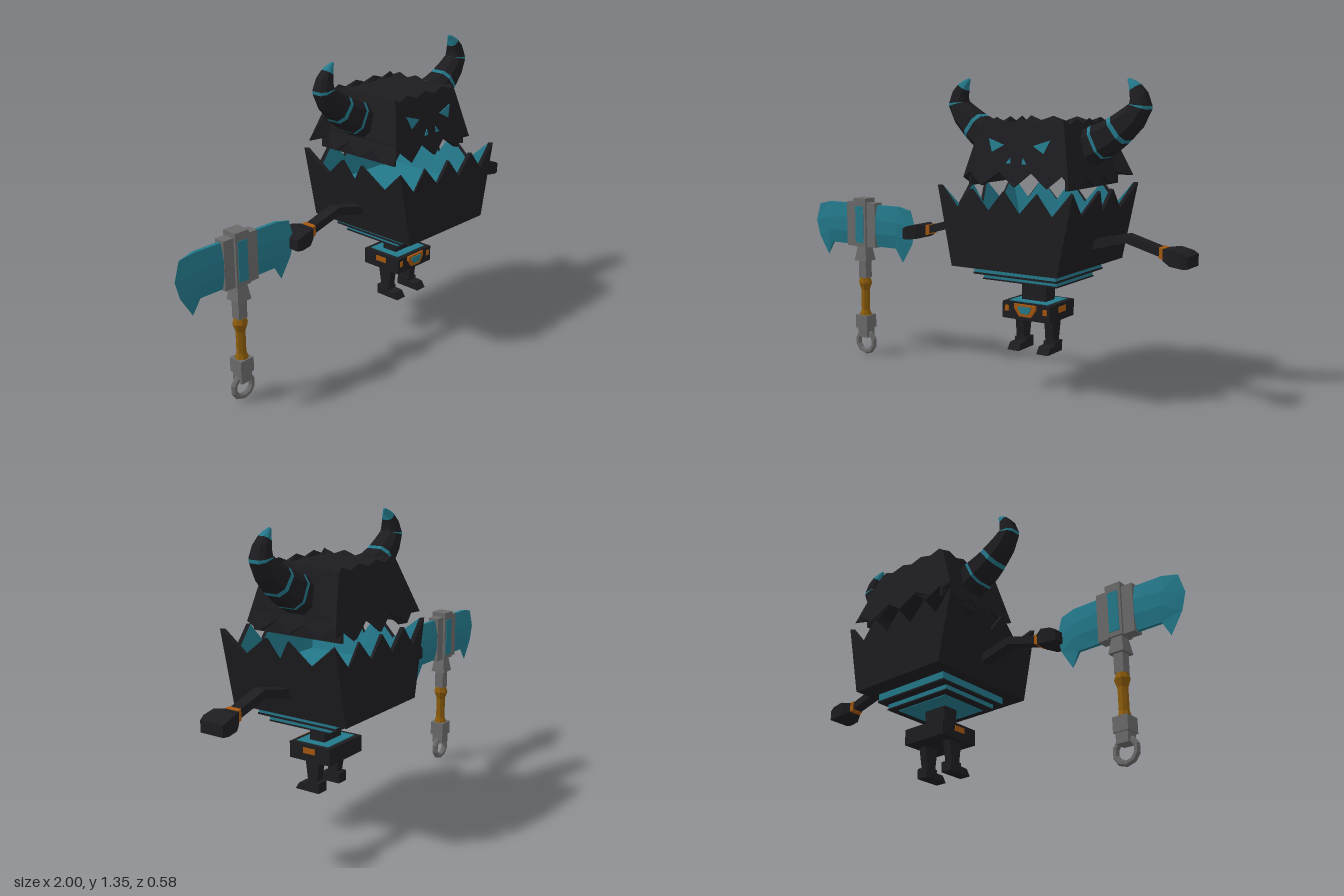
import * as THREE from 'three';

const mat = (color) => new THREE.MeshStandardMaterial({ color, flatShading: true, side: THREE.DoubleSide });
const dark = mat(0x1d1d21), teal = mat(0x23788a), steel = mat(0x6a6a6a), amber = mat(0x8c5c0c), orange = mat(0xa4570f);

function add(group, name, geometry, material) {
  const mesh = new THREE.Mesh(geometry, material);
  mesh.name = name;
  group.add(mesh);
  return mesh;
}

function box(group, name, material, [x0, x1], [y0, y1], [z0, z1]) {
  const g = new THREE.BoxGeometry(x1 - x0, y1 - y0, z1 - z0);
  g.translate((x0 + x1) / 2, (y0 + y1) / 2, (z0 + z1) / 2);
  return add(group, name, g, material);
}

// Skin a list of closed rings; caps are fans around the ring centre
function loft(rings, capStart = true, capEnd = true) {
  const pos = [];
  const tri = (...pts) => pts.forEach((p) => pos.push(...p));
  const n = rings[0].length;
  for (let r = 0; r < rings.length - 1; r++) {
    for (let i = 0; i < n; i++) {
      const j = (i + 1) % n, a = rings[r], b = rings[r + 1];
      tri(a[i], a[j], b[j]);
      tri(a[i], b[j], b[i]);
    }
  }
  const cap = (ring, flip) => {
    const c = [0, 1, 2].map((k) => ring.reduce((s, p) => s + p[k], 0) / n);
    ring.forEach((p, i) => {
      const q = ring[(i + 1) % n];
      if (flip) tri(c, q, p); else tri(c, p, q);
    });
  };
  if (capStart) cap(rings[0], true);
  if (capEnd) cap(rings[rings.length - 1], false);
  const g = new THREE.BufferGeometry();
  g.setAttribute('position', new THREE.Float32BufferAttribute(pos, 3));
  g.computeVertexNormals();
  return g;
}

// Mirrored copy across x = 0 with the winding kept outward
function flipX(geometry) {
  const g = geometry.index ? geometry.toNonIndexed() : geometry.clone();
  const p = g.attributes.position;
  for (let i = 0; i < p.count; i += 3) {
    const v = [0, 2, 1].map((k) => [-p.getX(i + k), p.getY(i + k), p.getZ(i + k)]);
    v.forEach((c, k) => p.setXYZ(i + k, ...c));
  }
  g.computeVertexNormals();
  return g;
}

function pair(group, name, geometry, material) {
  add(group, name + 'Left', geometry, material);
  add(group, name + 'Right', flipX(geometry), material);
}

// Four-sided bar along x from stations [x, y, halfHeight, halfDepth]
const bar = (stations) => loft(stations.map(([x, y, h, d]) =>
  [[-1, -1], [1, -1], [1, 1], [-1, 1]].map(([a, b]) => [x, y + a * h, b * d])));

// Walk round a square: half the front teeth are listed from the middle outwards
function perimeter(frontHalf, side) {
  const front = [...frontHalf.slice(1).reverse().map(([u, y]) => [-u, y]), ...frontHalf];
  return [
    ...front.map(([u, y]) => [u, 1, y]),
    ...side.map(([v, y]) => [1, v, y]),
    ...front.slice().reverse().map(([u, y]) => [u, -1, y]),
    ...side.slice().reverse().map(([v, y]) => [-1, v, y]),
  ];
}

function buildJaw(body) {
  const at = (u, v, y) => [u * (0.255 + 0.07 * (y - 0.56) / 0.34), y, v * 0.29];
  const edge = perimeter(
    [[0, 0.89], [0.25, 0.8], [0.5, 0.89], [0.77, 0.8], [1, 0.9]],
    [[0.62, 0.8], [0.2, 0.89], [0, 0.8], [-0.2, 0.89], [-0.55, 0.8]]);
  const ring = (s, height) => edge.map(([u, v, y]) => at(u * s, v * s, height ?? y));
  add(body, 'jaw', loft([ring(1, 0.56), ring(1), ring(0.95)], true, false), dark);
  add(body, 'mouthLining', loft([ring(0.95), ring(0.93, 0.7)], false, true), teal);
  // Stepped underside
  box(body, 'upperTier', teal, [-0.2, 0.2], [0.525, 0.56], [-0.2, 0.2]);
  box(body, 'upperTierBase', dark, [-0.203, 0.203], [0.518, 0.526], [-0.203, 0.203]);
  box(body, 'lowerTier', teal, [-0.18, 0.18], [0.495, 0.518], [-0.157, 0.157]);
  box(body, 'lowerTierBase', dark, [-0.183, 0.183], [0.49, 0.496], [-0.16, 0.16]);
  box(body, 'lowerTierInset', teal, [-0.145, 0.145], [0.487, 0.491], [-0.125, 0.125]);
}

function buildHead(body) {
  // The back edge flares out to meet the jaw
  const at = (u, v, y) => {
    const k = (1.18 - y) / 0.28;
    return [u * (0.195 + k * (v < -0.95 ? 0.125 : 0.067)), y, -0.037 + v * (0.18 + k * 0.068)];
  };
  const edge = perimeter(
    [[0, 0.9], [0.305, 0.96], [0.61, 0.9], [0.9, 0.955], [1, 0.93]],
    [[0.7, 0.9], [0.4, 0.95], [0.1, 0.9], [-0.2, 0.95], [-0.5, 0.9], [-0.75, 0.95]]);
  const ring = (s, height) => edge.map(([u, v, y], i) => at(u * s, v * s, height ? height(i) : y));
  add(body, 'head', loft([
    ring(0.9, () => 0.97), ring(0.94), ring(1),
    ring(1, (i) => (i % 2 ? 1.16 : 1.18)), ring(0.9, () => 1.155),
  ]), dark);
  const cheek = new THREE.BoxGeometry(0.015, 0.1, 0.44);
  cheek.translate(0.235, 0.945, -0.04);
  pair(body, 'cheekPanel', cheek, dark);

  // Eyes and nostrils lie on the sloping face
  const facePatch = (name, points) => {
    const ring3 = (lift) => points.map(([x, y]) => [x, y, at(0, 1, y)[2] + lift]);
    pair(body, name, loft([ring3(-0.004), ring3(0.004)]), teal);
  };
  facePatch('eye', [[0.148, 1.095], [0.07, 1.07], [0.125, 1.04]]);
  facePatch('nostril', [[0.03, 1.02], [0.028, 0.995], [0.05, 0.995]]);

  // Horns: the z of each curve point holds the radius
  const path = new THREE.CatmullRomCurve3([
    [0.17, 1.03, 0.07], [0.24, 1.07, 0.073], [0.34, 1.125, 0.062],
    [0.445, 1.23, 0.043], [0.425, 1.3, 0.027], [0.39, 1.342, 0.005],
  ].map((p) => new THREE.Vector3(...p)));
  const section = [[1, 0.55], [0.55, 1], [-0.55, 1], [-1, 0.55], [-1, -0.55], [-0.55, -1], [0.55, -1], [1, -0.55]];
  const hornRing = (t) => {
    const p = path.getPoint(t), d = path.getTangent(t);
    d.z = 0;
    d.normalize();
    return section.map(([a, b]) => [p.x - d.y * a * p.z, p.y + d.x * a * p.z, -0.04 + b * p.z]);
  };
  const cuts = [0, 0.24, 0.265, 0.41, 0.435, 0.6, 0.62, 0.82, 1];
  for (let i = 0; i < cuts.length - 1; i++) {
    const [a, b] = [cuts[i], cuts[i + 1]];
    const rings = [0, 0.5, 1].map((k) => hornRing(a + (b - a) * k));
    pair(body, i % 2 ? 'hornBand' : 'horn', loft(rings), i % 2 ? teal : dark);
  }
}

function buildLimbs(body) {
  pair(body, 'arm', bar([[0.26, 0.66, 0.02, 0.028], [0.425, 0.7, 0.018, 0.028], [0.575, 0.657, 0.018, 0.026]]), dark);
  pair(body, 'cuff', bar([[0.572, 0.657, 0.022, 0.03], [0.592, 0.652, 0.024, 0.033]]), orange);
  pair(body, 'hand', bar([[0.59, 0.65, 0.024, 0.034], [0.63, 0.645, 0.034, 0.058],
    [0.68, 0.636, 0.031, 0.062], [0.705, 0.63, 0.024, 0.056]]), dark);

  box(body, 'torso', dark, [-0.06, 0.06], [0.38, 0.49], [-0.037, 0.04]);
  box(body, 'hips', dark, [-0.117, 0.117], [0.32, 0.393], [-0.105, 0.105]);
  box(body, 'hipTrim', teal, [-0.095, 0.095], [0.385, 0.396], [-0.083, 0.083]);
  const buckle = (s, z) => [[-0.03, 0.335], [0.03, 0.335], [0.055, 0.37], [0.055, 0.39], [-0.055, 0.39], [-0.055, 0.37]]
    .map(([x, y]) => [x * s, 0.368 + (y - 0.368) * s, z]);
  add(body, 'buckle', loft([buckle(1, 0.1), buckle(0.95, 0.115)]), orange);
  add(body, 'buckleGem', loft([buckle(0.6, 0.11), buckle(0.55, 0.119)]), teal);
  const stud = new THREE.BoxGeometry(0.006, 0.025, 0.06);
  stud.translate(0.118, 0.367, 0);
  pair(body, 'hipStud', stud, orange);
  const frontStud = new THREE.BoxGeometry(0.018, 0.025, 0.006);
  frontStud.translate(0.095, 0.365, 0.106);
  pair(body, 'frontStud', frontStud, orange);

  // Legs and feet are side profiles given as [z, y]
  const profile = (name, width, points) => {
    const shape = new THREE.Shape(points.map((p) => new THREE.Vector2(...p)));
    const g = new THREE.ExtrudeGeometry(shape, { depth: width, bevelEnabled: false });
    g.translate(0, 0, -width / 2).rotateY(-Math.PI / 2).translate(0.073, 0, 0);
    pair(body, name, g, dark);
  };
  profile('leg', 0.04, [[0.04, 0.325], [-0.037, 0.325], [-0.014, 0.2], [0.025, 0.2]]);
  profile('foot', 0.056, [[0.09, 0.175], [0.07, 0.205], [0.03, 0.207], [0.03, 0.222], [-0.035, 0.222], [-0.035, 0.175]]);
}

function buildAxe() {
  const axe = new THREE.Group();
  axe.name = 'axe';
  // Blade columns from the head out to the cutting edge, points [x, y] from bottom to top
  const columns = [
    [0.024, [[0.07, 0.545], [0.07, 0.61], [0.07, 0.68], [0.07, 0.745]]],
    [0.02, [[0.2, 0.545], [0.21, 0.61], [0.215, 0.67], [0.215, 0.745]]],
    [0.002, [[0.235, 0.48], [0.29, 0.57], [0.31, 0.645], [0.285, 0.73]]],
  ];
  pair(axe, 'blade', loft(columns.map(([t, pts]) => {
    const face = (s) => pts.map(([x, y], i) => [x, y, s * t * (i % 3 ? 1 : 0.4)]);
    return [...face(-1), ...face(1).reverse()];
  })), teal);
  box(axe, 'axeHead', steel, [-0.0875, 0.0875], [0.54, 0.755], [-0.026, 0.026]);
  box(axe, 'axeSpine', steel, [-0.036, 0.036], [0.54, 0.775], [-0.036, 0.036]);
  box(axe, 'axeInlay', teal, [-0.024, 0.024], [0.56, 0.738], [-0.039, 0.039]);

  // Handle pieces: [name, material, sides, top half width, bottom half width, top y, bottom y]
  [
    ['collar', steel, 4, 0.024, 0.036, 0.545, 0.47],
    ['neck', steel, 4, 0.022, 0.022, 0.47, 0.385],
    ['gripTop', amber, 8, 0.024, 0.031, 0.385, 0.36],
    ['gripShoulder', amber, 8, 0.031, 0.02, 0.36, 0.325],
    ['grip', amber, 8, 0.02, 0.02, 0.325, 0.225],
    ['gripEnd', amber, 8, 0.02, 0.028, 0.225, 0.2],
    ['pommel', steel, 4, 0.035, 0.035, 0.2, 0.135],
    ['pommelEnd', steel, 4, 0.028, 0.028, 0.135, 0.09],
  ].forEach(([name, material, sides, top, bottom, y1, y0]) => {
    const k = 1 / Math.cos(Math.PI / sides);
    const g = new THREE.CylinderGeometry(top * k, bottom * k, y1 - y0, sides);
    g.rotateY(Math.PI / sides).translate(0, (y0 + y1) / 2, 0);
    add(axe, name, g, material);
  });
  const ring = new THREE.TorusGeometry(0.05, 0.014, 6, 10);
  ring.rotateZ(Math.PI / 10).translate(0, 0.064, 0);
  add(axe, 'pommelRing', ring, steel);
  axe.position.x = -0.69;
  return axe;
}

export function createModel() {
  const model = new THREE.Group();
  model.name = 'hornedAxeCreature';
  const body = new THREE.Group();
  body.name = 'creature';
  body.position.x = 0.295;
  buildJaw(body);
  buildHead(body);
  buildLimbs(body);
  model.add(body, buildAxe());
  return model;
}
